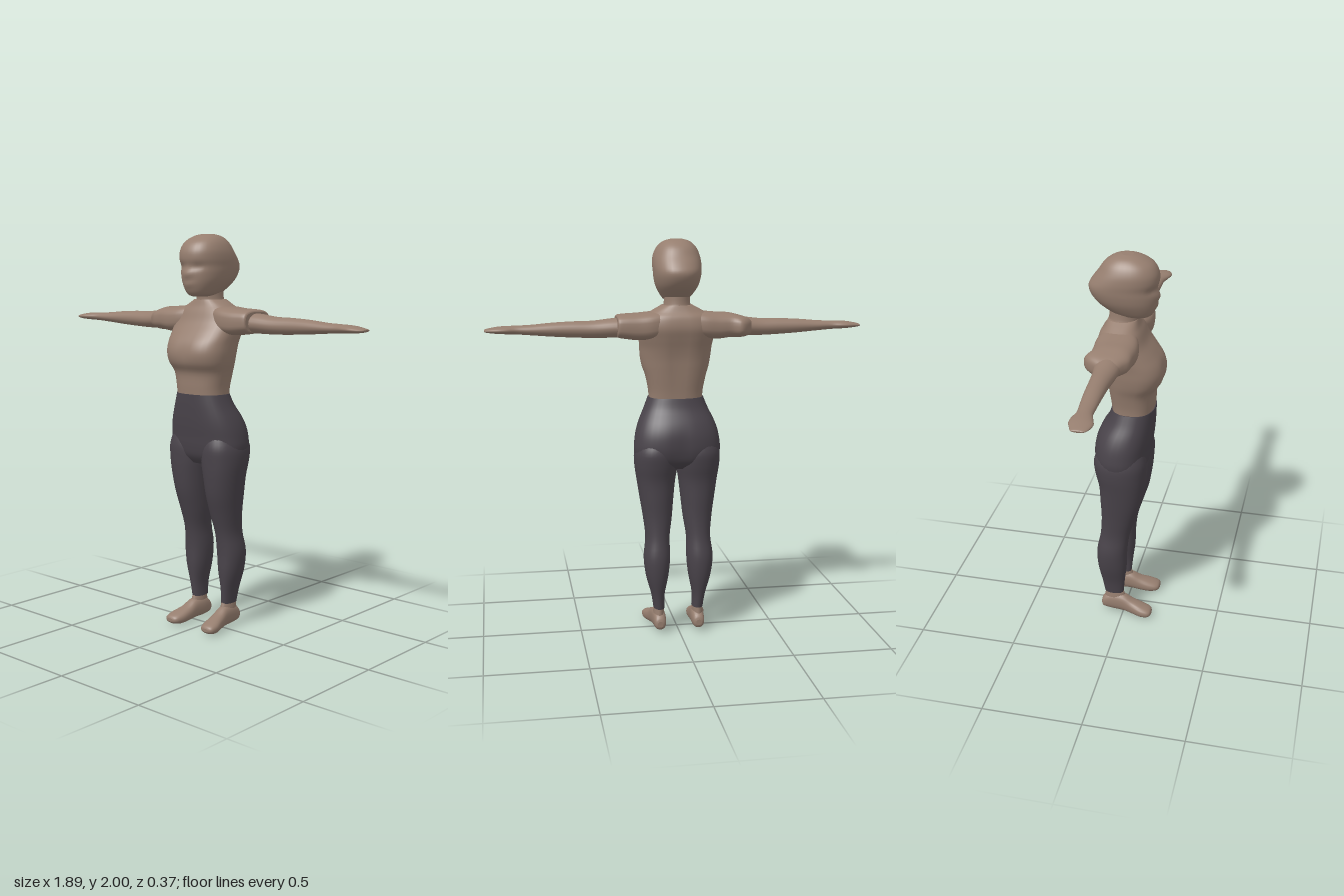
import * as THREE from 'three';

const AXES = { x: [1, 2, 0], y: [2, 0, 1], z: [0, 1, 2] }; // indices of u, v and t

// Smooth loft along an axis. Each row: [t, uMin, uMax, vMin, vMax], t increasing.
// u, v are (y, z) along x, (z, x) along y and (x, y) along z.
function loft(axis, rows, { n = 2, sides = 36, steps = 4, deform } = {}) {
  const [iu, iv, it] = AXES[axis];
  const at = (i) => rows[Math.max(0, Math.min(rows.length - 1, i))];
  const rings = [];
  for (let i = 0; i < rows.length - 1; i++) {
    for (let s = 0; s < steps; s++) rings.push(sample(i, s / steps));
  }
  rings.push(rows[rows.length - 1]);

  function sample(i, f) {
    return rows[i].map((b, k) => {
      const a = at(i - 1)[k], c = at(i + 1)[k], d = at(i + 2)[k];
      return b + 0.5 * f * (c - a + f * (2 * a - 5 * b + 4 * c - d + f * (3 * (b - c) + d - a)));
    });
  }

  const pos = [], index = [];
  const put = (u, v, t) => {
    const p = [0, 0, 0];
    p[iu] = u; p[iv] = v; p[it] = t;
    if (deform) deform(p);
    pos.push(...p);
  };
  const ring = ([t, u0, u1, v0, v1]) => {
    for (let j = 0; j < sides; j++) {
      const a = (j / sides) * Math.PI * 2, c = Math.cos(a), s = Math.sin(a);
      const cu = Math.sign(c) * Math.abs(c) ** (2 / n), sv = Math.sign(s) * Math.abs(s) ** (2 / n);
      put((u0 + u1) / 2 + cu * (u1 - u0) / 2, (v0 + v1) / 2 + sv * (v1 - v0) / 2, t);
    }
  };
  rings.forEach(ring);
  for (let i = 0; i < rings.length - 1; i++) {
    for (let j = 0; j < sides; j++) {
      const a = i * sides + j, b = i * sides + (j + 1) % sides;
      index.push(a, b, b + sides, a, b + sides, a + sides);
    }
  }
  // Flat end caps with their own vertices
  [rings[0], rings[rings.length - 1]].forEach((r, end) => {
    const base = pos.length / 3;
    ring(r);
    put((r[1] + r[2]) / 2, (r[3] + r[4]) / 2, r[0]);
    for (let j = 0; j < sides; j++) {
      const a = base + j, b = base + (j + 1) % sides;
      index.push(base + sides, ...(end ? [a, b] : [b, a]));
    }
  });
  const g = new THREE.BufferGeometry();
  g.setAttribute('position', new THREE.Float32BufferAttribute(pos, 3));
  g.setIndex(index);
  g.computeVertexNormals();
  return g;
}

// Mirror a geometry across x = 0, keeping faces outward
function mirror(source) {
  const g = source.clone();
  const p = g.attributes.position, idx = g.index;
  for (let i = 0; i < p.count; i++) p.setX(i, -p.getX(i));
  for (let i = 0; i < idx.count; i += 3) {
    const b = idx.getX(i + 1);
    idx.setX(i + 1, idx.getX(i + 2));
    idx.setX(i + 2, b);
  }
  g.computeVertexNormals();
  return g;
}

const bump = (x, c, w) => Math.exp(-(((x - c) / w) ** 2));

export function createModel() {
  const model = new THREE.Group();
  const skin = new THREE.MeshStandardMaterial({ color: 0x967e6f });
  skin.name = 'skin';
  const cloth = new THREE.MeshStandardMaterial({ color: 0x49434a });
  cloth.name = 'dark leggings';

  const add = (name, geometry, material) => {
    const mesh = new THREE.Mesh(geometry, material);
    mesh.name = name;
    model.add(mesh);
  };
  const addPair = (name, geometry, material) => {
    add('left' + name, geometry, material);
    add('right' + name, mirror(geometry), material);
  };

  // Head, with shallow eye sockets, a small nose and lips
  add('head', loft('y', [
    [1.695, 0.0, 0.095, -0.035, 0.035],
    [1.705, -0.05, 0.118, -0.06, 0.06],
    [1.73, -0.1, 0.135, -0.08, 0.08],
    [1.77, -0.15, 0.145, -0.102, 0.102],
    [1.81, -0.178, 0.148, -0.113, 0.113],
    [1.845, -0.185, 0.146, -0.117, 0.117],
    [1.88, -0.166, 0.154, -0.119, 0.119],
    [1.92, -0.136, 0.15, -0.114, 0.114],
    [1.96, -0.108, 0.125, -0.096, 0.096],
    [1.988, -0.068, 0.075, -0.066, 0.066],
    [2.0, -0.025, 0.03, -0.028, 0.028],
  ], {
    n: 2.25,
    deform: (p) => {
      if (p[2] < 0.06) return;
      const [x, y] = p;
      p[2] += 0.012 * bump(x, 0, 0.025) * bump(y, 1.805, 0.022)
        + 0.006 * bump(x, 0, 0.035) * bump(y, 1.755, 0.014)
        - 0.008 * bump(Math.abs(x), 0.05, 0.025) * bump(y, 1.84, 0.018);
    },
  }), skin);

  add('neck', loft('y', [
    [1.6, -0.11, 0.065, -0.09, 0.09],
    [1.65, -0.1, 0.06, -0.078, 0.078],
    [1.69, -0.088, 0.056, -0.065, 0.065],
    [1.77, -0.09, 0.07, -0.065, 0.065],
  ]), skin);

  // Torso, with a soft valley down the chest and spine
  add('torso', loft('y', [
    [1.2, -0.068, 0.138, -0.135, 0.135],
    [1.25, -0.073, 0.142, -0.138, 0.138],
    [1.32, -0.083, 0.148, -0.152, 0.152],
    [1.37, -0.09, 0.18, -0.168, 0.168],
    [1.42, -0.097, 0.19, -0.177, 0.177],
    [1.47, -0.108, 0.176, -0.181, 0.181],
    [1.52, -0.122, 0.14, -0.188, 0.188],
    [1.57, -0.133, 0.102, -0.192, 0.192],
    [1.62, -0.125, 0.08, -0.178, 0.178],
    [1.65, -0.105, 0.065, -0.13, 0.13],
    [1.68, -0.09, 0.055, -0.075, 0.075],
  ], {
    n: 2.5,
    deform: (p) => {
      const w = bump(p[0], 0, 0.035);
      if (p[2] > 0.08) p[2] -= 0.008 * w * bump(p[1], 1.43, 0.06);
      if (p[2] < -0.04) p[2] += 0.01 * w * bump(p[1], 1.42, 0.16);
    },
  }), skin);

  // Shoulders: a square-cut end on the left, a softer one on the right
  const shoulderRows = [
    [0.06, 1.53, 1.655, -0.11, 0.06],
    [0.13, 1.515, 1.648, -0.125, 0.085],
    [0.2, 1.51, 1.641, -0.122, 0.09],
    [0.26, 1.517, 1.638, -0.12, 0.084],
  ];
  add('leftShoulder', loft('x', [...shoulderRows,
    [0.295, 1.523, 1.634, -0.117, 0.078], [0.303, 1.528, 1.626, -0.11, 0.068]], { n: 3 }), skin);
  add('rightShoulder', mirror(loft('x', [...shoulderRows,
    [0.305, 1.518, 1.628, -0.138, 0.078], [0.34, 1.522, 1.618, -0.115, 0.055],
    [0.37, 1.53, 1.605, -0.07, 0.035]], { n: 2.7 })), skin);

  // Arms stretched sideways, ending in flat closed hands
  addPair('ArmAndHand', loft('x', [
    [0.22, 1.522, 1.622, -0.095, 0.055],
    [0.32, 1.522, 1.618, -0.085, 0.048],
    [0.42, 1.522, 1.607, -0.071, 0.038],
    [0.52, 1.526, 1.605, -0.064, 0.03],
    [0.62, 1.532, 1.6, -0.059, 0.028],
    [0.72, 1.54, 1.591, -0.051, 0.027],
    [0.79, 1.545, 1.588, -0.045, 0.028],
    [0.84, 1.547, 1.586, -0.056, 0.042],
    [0.88, 1.549, 1.583, -0.057, 0.052],
    [0.92, 1.553, 1.576, -0.042, 0.043],
    [0.94, 1.557, 1.571, -0.034, 0.03],
    [0.945, 1.561, 1.567, -0.025, 0.02],
  ], { sides: 24 }), skin);

  // Hips of the leggings, with a shallow groove at the back
  add('leggingsHips', loft('y', [
    [0.86, -0.09, 0.08, -0.16, 0.16],
    [0.9, -0.135, 0.108, -0.205, 0.205],
    [0.95, -0.153, 0.12, -0.219, 0.219],
    [1.0, -0.155, 0.126, -0.216, 0.216],
    [1.05, -0.147, 0.133, -0.207, 0.207],
    [1.1, -0.127, 0.138, -0.19, 0.19],
    [1.16, -0.09, 0.142, -0.162, 0.162],
    [1.215, -0.072, 0.144, -0.14, 0.14],
  ], {
    n: 2.3,
    deform: (p) => {
      if (p[2] < -0.05) p[2] += 0.014 * bump(p[0], 0, 0.03) * bump(p[1], 0.94, 0.09);
    },
  }), cloth);

  addPair('LeggingsLeg', loft('y', [
    [0.125, -0.1, 0.001, 0.072, 0.128],
    [0.2, -0.112, 0.008, 0.072, 0.14],
    [0.3, -0.132, 0.019, 0.053, 0.167],
    [0.4, -0.136, 0.022, 0.043, 0.178],
    [0.5, -0.118, 0.035, 0.044, 0.167],
    [0.6, -0.112, 0.064, 0.03, 0.176],
    [0.7, -0.116, 0.094, 0.02, 0.191],
    [0.8, -0.121, 0.11, 0.009, 0.206],
    [0.88, -0.139, 0.117, -0.004, 0.217],
    [0.95, -0.146, 0.118, -0.004, 0.216],
    [1.02, -0.12, 0.1, 0.01, 0.19],
  ], { n: 2.15 }), cloth);

  // Bare ankles and feet, toes turned slightly outward
  addPair('Ankle', loft('y', [
    [0.04, -0.105, 0.01, 0.072, 0.132],
    [0.09, -0.1, 0.012, 0.073, 0.13],
    [0.15, -0.095, -0.004, 0.077, 0.123],
  ], { sides: 24 }), skin);
  addPair('Foot', loft('z', [
    [-0.116, 0.085, 0.115, 0.035, 0.065],
    [-0.105, 0.072, 0.128, 0.02, 0.088],
    [-0.06, 0.066, 0.134, 0.012, 0.115],
    [0.0, 0.068, 0.139, 0.01, 0.112],
    [0.05, 0.068, 0.149, 0.004, 0.085],
    [0.1, 0.07, 0.164, 0.0, 0.067],
    [0.135, 0.078, 0.164, 0.004, 0.055],
    [0.152, 0.09, 0.155, 0.012, 0.046],
    [0.158, 0.105, 0.14, 0.02, 0.036],
  ], { n: 2.3, sides: 24 }), skin);

  return model;
}
